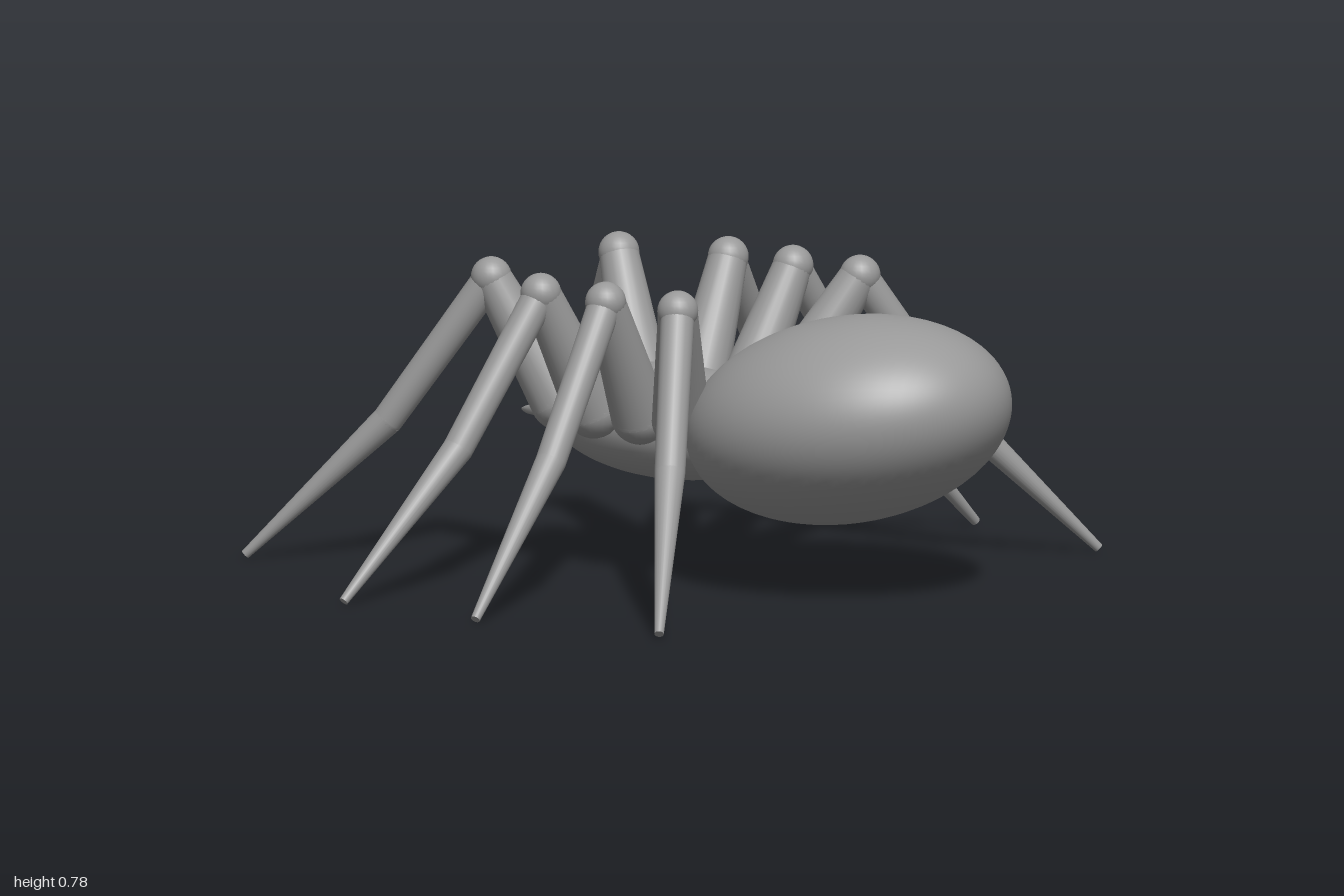
import * as THREE from 'three';

const material = new THREE.MeshStandardMaterial({ color: 0x999999 });
const V = (x, y, z) => new THREE.Vector3(x, y, z);

function addMesh(parent, name, geometry) {
  const mesh = new THREE.Mesh(geometry, material);
  mesh.name = name;
  parent.add(mesh);
  return mesh;
}

function addBall(parent, name, centre, radius) {
  addMesh(parent, name, new THREE.SphereGeometry(radius, 24, 16)).position.copy(centre);
}

// Tapered limb segment between two points
function addSegment(parent, name, from, to, r0, r1) {
  const dir = to.clone().sub(from);
  const mesh = addMesh(parent, name, new THREE.CylinderGeometry(r1, r0, dir.length(), 24));
  mesh.position.copy(from).addScaledVector(dir, 0.5);
  mesh.quaternion.setFromUnitVectors(V(0, 1, 0), dir.normalize());
}

// Curved tube whose rings shrink towards the tip
function taperedTube(points, r0, r1) {
  const curve = new THREE.CatmullRomCurve3(points);
  const steps = 20, sides = 12;
  const geometry = new THREE.TubeGeometry(curve, steps, 1, sides);
  const pos = geometry.attributes.position;
  for (let i = 0; i < pos.count; i++) {
    const t = Math.floor(i / (sides + 1)) / steps;
    const centre = curve.getPointAt(t);
    const p = V().fromBufferAttribute(pos, i).sub(centre);
    p.multiplyScalar(THREE.MathUtils.lerp(r0, r1, t)).add(centre);
    pos.setXYZ(i, p.x, p.y, p.z);
  }
  geometry.computeVertexNormals();
  return geometry;
}

function addLeg(parent, name, hip, knee, tip) {
  const leg = new THREE.Group();
  leg.name = name;
  parent.add(leg);
  const shin = knee.clone().lerp(tip, 0.42);
  shin.y = 0.365;
  addBall(leg, 'hip', hip, 0.074);
  addSegment(leg, 'thigh', hip, knee, 0.074, 0.05);
  addBall(leg, 'knee', knee, 0.052);
  addSegment(leg, 'upperShin', knee, shin, 0.043, 0.039);
  addBall(leg, 'shinJoint', shin, 0.039);
  addSegment(leg, 'lowerShin', shin, tip, 0.039, 0.012);
}

export function createModel() {
  const model = new THREE.Group();
  model.name = 'spider';

  // Abdomen: long ellipsoid, tail end raised
  const abdomen = addMesh(model, 'abdomen', new THREE.SphereGeometry(1, 64, 40).rotateX(Math.PI / 2));
  abdomen.scale.set(0.367, 0.262, 0.446);
  abdomen.position.set(0, 0.44, 0.532);
  abdomen.rotation.x = -0.213;

  // Thorax: ellipsoid cut flat where it meets the abdomen
  const cut = Math.acos(0.545);
  const thorax = new THREE.Group();
  thorax.name = 'thorax';
  thorax.position.set(0, 0.375, -0.05);
  thorax.scale.set(0.19, 0.145, 0.366);
  model.add(thorax);
  addMesh(thorax, 'thoraxShell',
    new THREE.SphereGeometry(1, 48, 32, 0, Math.PI * 2, cut, Math.PI - cut).rotateX(Math.PI / 2));
  addMesh(thorax, 'thoraxEnd', new THREE.CircleGeometry(Math.sin(cut), 48)).position.z = 0.545;

  // Legs, front pair to back pair: [hip, knee, tip]
  const legs = [
    [[0.163, 0.422, -0.28], [0.252, 0.735, -0.43], [0.583, 0.012, -0.961]],
    [[0.205, 0.422, -0.133], [0.37, 0.735, -0.17], [0.985, 0.012, -0.306]],
    [[0.205, 0.422, 0.018], [0.37, 0.735, 0.042], [0.988, 0.012, 0.128]],
    [[0.193, 0.422, 0.142], [0.36, 0.735, 0.27], [0.868, 0.012, 0.63]],
  ];
  for (const [side, label] of [[1, 'A'], [-1, 'B']]) {
    legs.forEach((joints, i) => {
      const [hip, knee, tip] = joints.map(([x, y, z]) => V(side * x, y, z));
      addLeg(model, `leg${label}${i + 1}`, hip, knee, tip);
    });

    // Curved fangs
    const fang = [[0.065, 0.375, -0.32], [0.083, 0.378, -0.39], [0.066, 0.37, -0.46], [0.03, 0.362, -0.511]];
    addMesh(model, `fang${label}`,
      taperedTube(fang.map(([x, y, z]) => V(side * x, y, z)), 0.029, 0.004));
  }
  return model;
}
